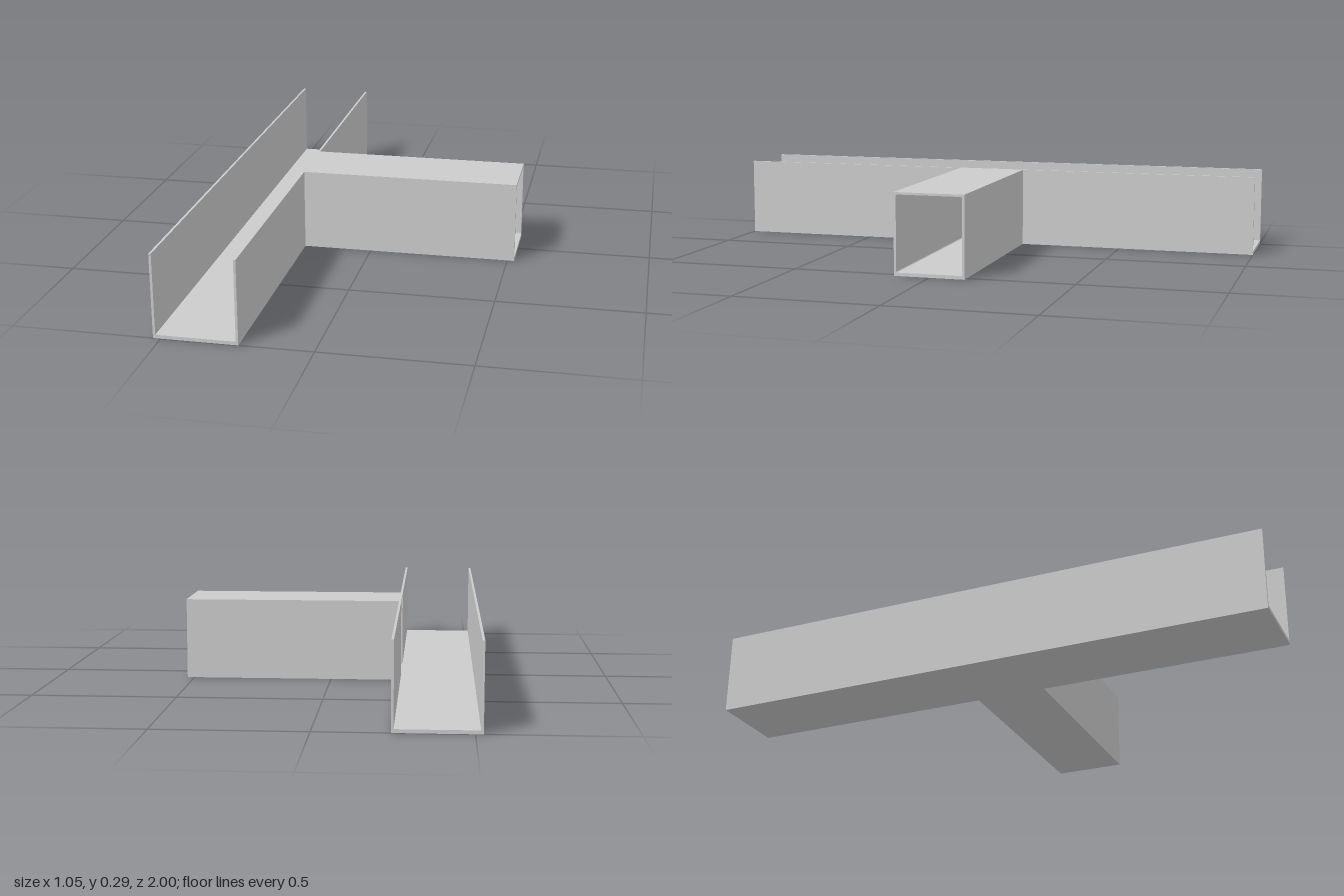
import * as THREE from 'three';

const H = 0.287;            // overall height
const X = 0.525;            // half width
const INNER = -0.253;       // inside face of the pierced channel wall
const WALL = 0.008;         // sheet thickness
const FLOOR = 0.012;        // floor thickness
const HALF = 0.125;         // half width of the side tube

const material = new THREE.MeshStandardMaterial({ color: 0xcccccc });

// Box given by its minimum and maximum corners
function box(name, [x0, y0, z0], [x1, y1, z1]) {
  const geometry = new THREE.BoxGeometry(x1 - x0, y1 - y0, z1 - z0);
  const mesh = new THREE.Mesh(geometry, material);
  mesh.name = name;
  mesh.position.set((x0 + x1) / 2, (y0 + y1) / 2, (z0 + z1) / 2);
  return mesh;
}

// Rectangle outline with slightly eased corners
function easedRect(path, x0, y0, x1, y1, r) {
  path.moveTo(x0 + r, y0);
  path.lineTo(x1 - r, y0);
  path.quadraticCurveTo(x1, y0, x1, y0 + r);
  path.lineTo(x1, y1 - r);
  path.quadraticCurveTo(x1, y1, x1 - r, y1);
  path.lineTo(x0 + r, y1);
  path.quadraticCurveTo(x0, y1, x0, y1 - r);
  path.lineTo(x0, y0 + r);
  path.quadraticCurveTo(x0, y0, x0 + r, y0);
  return path;
}

export function createModel() {
  const model = new THREE.Group();
  model.name = 'channelJunction';

  // Long open channel; its wall is interrupted where the tube enters
  const channel = new THREE.Group();
  channel.name = 'channel';
  channel.add(
    box('channelFloor', [-X + WALL, 0, -1], [INNER, FLOOR, 1]),
    box('outerWall', [-X, 0, -1], [-X + WALL, H, 1]),
    box('frontInnerWall', [INNER, 0, HALF], [INNER + WALL, H, 1]),
    box('backInnerWall', [INNER, 0, -1], [INNER + WALL, H, -HALF]),
  );
  model.add(channel);

  // Square side tube, open at both ends
  const section = new THREE.Shape([
    new THREE.Vector2(-HALF, 0), new THREE.Vector2(HALF, 0),
    new THREE.Vector2(HALF, H), new THREE.Vector2(-HALF, H),
  ]);
  section.holes.push(
    easedRect(new THREE.Path(), -HALF + WALL, FLOOR, HALF - WALL, H - WALL, 0.006));
  const tubeGeometry = new THREE.ExtrudeGeometry(section, {
    depth: X - INNER, bevelEnabled: false, curveSegments: 3,
  });
  const tube = new THREE.Mesh(tubeGeometry, material);
  tube.name = 'sideTube';
  tube.rotation.y = Math.PI / 2;
  tube.position.x = INNER;
  model.add(tube);

  return model;
}
